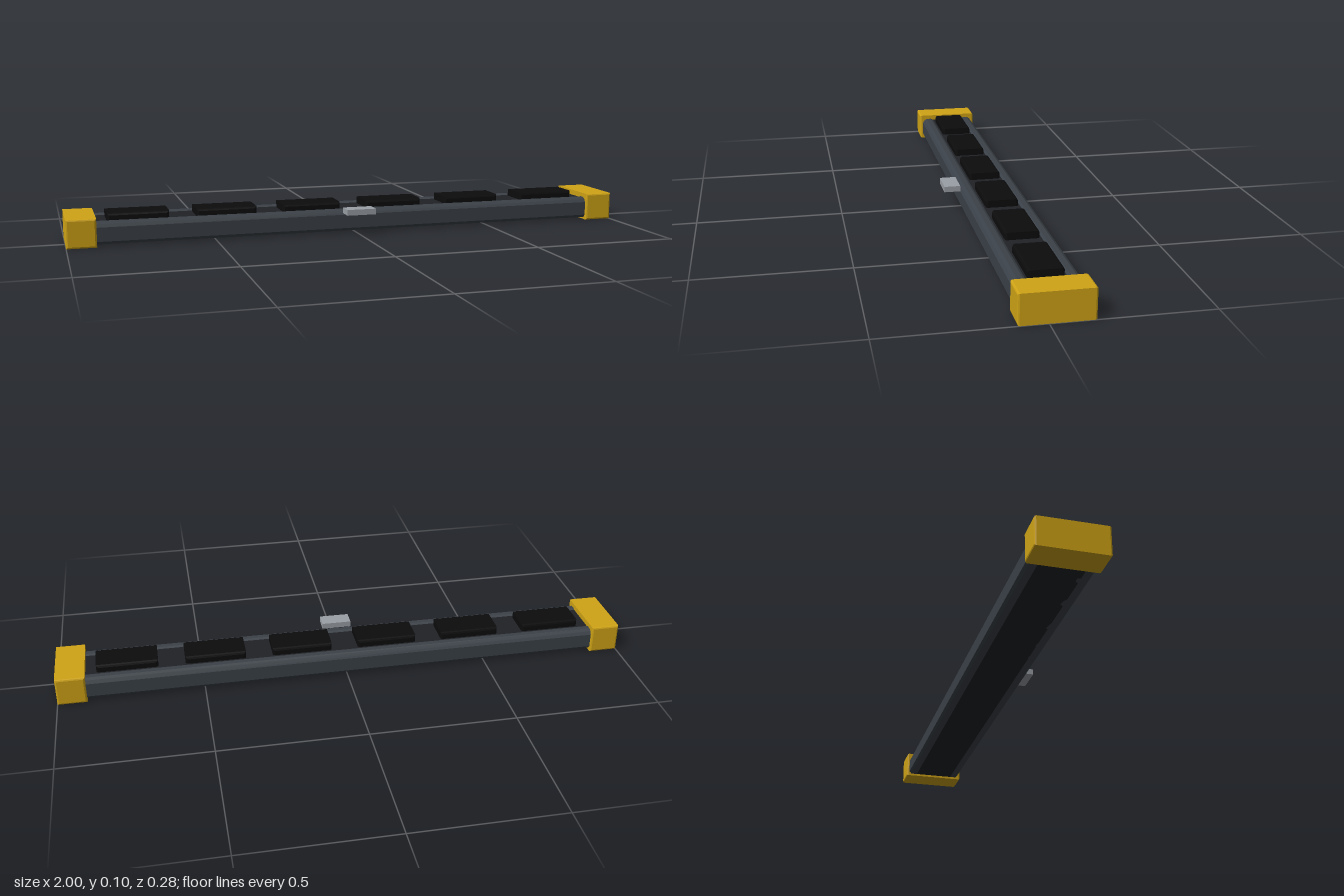
import * as THREE from 'three';

const mat = (color) => new THREE.MeshStandardMaterial({ color, flatShading: true });

// Box with chamfered edges, given by its min and max corners
function chamferBox(name, min, max, c, material) {
  const [w, h, d] = max.map((v, i) => v - min[i]);
  const x = w / 2 - c, y = h / 2 - c;
  const shape = new THREE.Shape([
    new THREE.Vector2(-x, -y), new THREE.Vector2(x, -y),
    new THREE.Vector2(x, y), new THREE.Vector2(-x, y),
  ]);
  const geo = new THREE.ExtrudeGeometry(shape, {
    depth: d - 2 * c, bevelEnabled: true, bevelSize: c, bevelThickness: c, bevelSegments: 2,
  });
  geo.center();
  const mesh = new THREE.Mesh(geo, material);
  mesh.name = name;
  mesh.position.set(...max.map((v, i) => (v + min[i]) / 2));
  return mesh;
}

export function createModel() {
  const group = new THREE.Group();
  const yellow = mat(0xd0a416), rail = mat(0x3b4148), dark = mat(0x202226);
  const black = mat(0x0c0c0d), silver = mat(0x9a9fa6);
  const midZ = -0.025;

  // Dark central deck between the rails
  group.add(chamferBox('deck', [-0.92, 0.008, midZ - 0.075], [0.92, 0.079, midZ + 0.075], 0.002, dark));

  // Side rails: chamfered profile swept along x
  const profile = new THREE.Shape([
    [0.062, 0.008], [0.097, 0.008], [0.105, 0.018], [0.105, 0.066],
    [0.098, 0.077], [0.088, 0.083], [0.070, 0.083], [0.062, 0.079],
  ].map(([z, y]) => new THREE.Vector2(z, y)));
  for (const side of [1, -1]) {
    const geo = new THREE.ExtrudeGeometry(profile, { depth: 1.84, bevelEnabled: false });
    geo.translate(0, 0, -0.92);
    const mesh = new THREE.Mesh(geo, rail);
    mesh.name = side > 0 ? 'frontRail' : 'backRail';
    mesh.rotation.y = -side * Math.PI / 2;
    mesh.position.z = midZ;
    group.add(mesh);
  }

  // End caps
  for (const side of [1, -1]) {
    const cx = side * 0.95;
    group.add(chamferBox(side > 0 ? 'leftEndCap' : 'rightEndCap',
      [cx - 0.05, 0, -0.14], [cx + 0.05, 0.098, 0.091], 0.006, yellow));
  }

  // Row of pads on the deck
  for (let i = 0; i < 6; i++) {
    const cx = (i - 2.5) * 0.303;
    group.add(chamferBox('pad' + (i + 1),
      [cx - 0.105, 0.07, midZ - 0.056], [cx + 0.105, 0.104, midZ + 0.056], 0.008, black));
  }

  // Small plate on the front edge
  const plate = new THREE.Mesh(new THREE.BoxGeometry(0.104, 0.02, 0.057), silver);
  plate.name = 'frontPlate';
  plate.position.set(0, 0.083, 0.1115);
  group.add(plate);

  return group;
}
